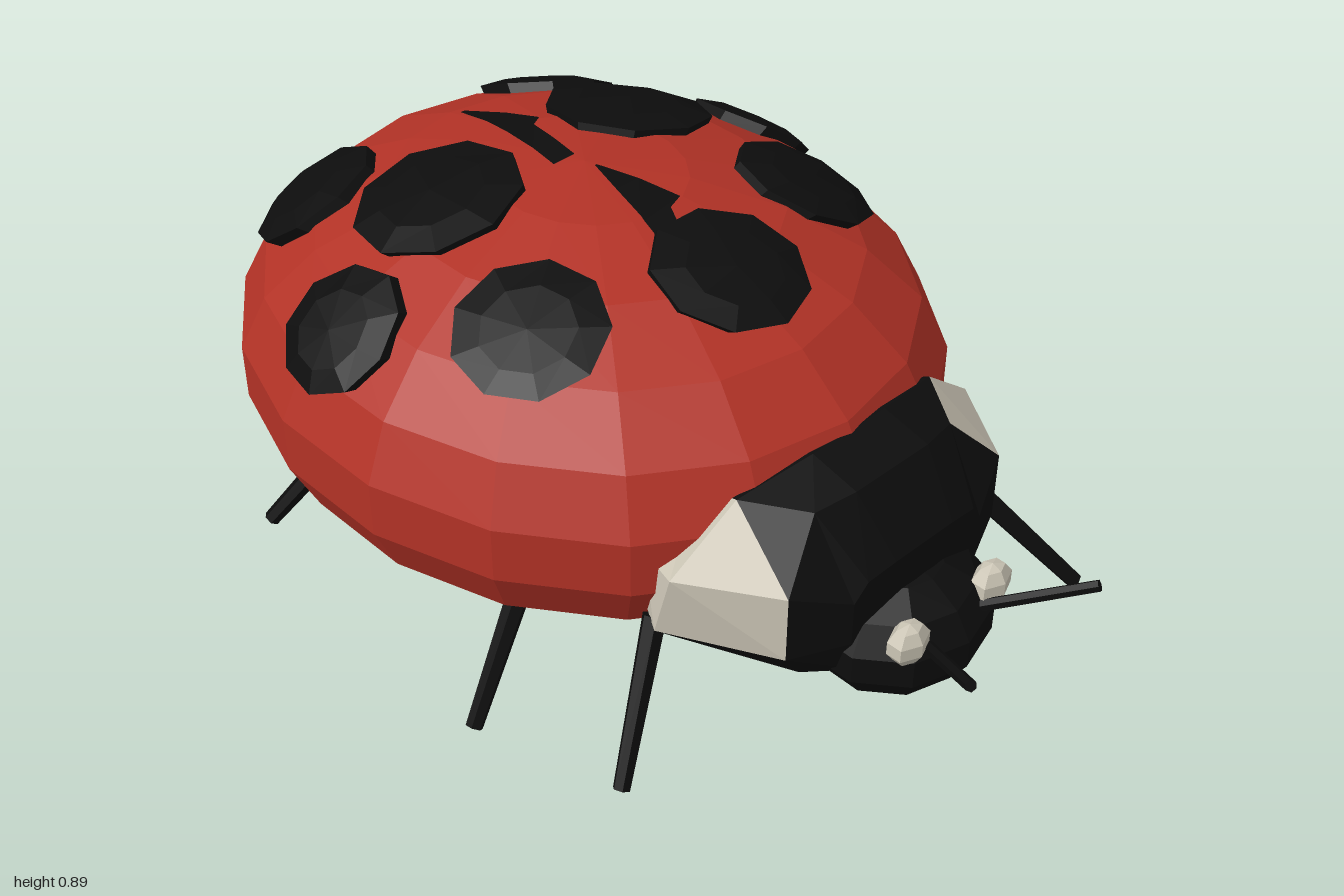
import * as THREE from 'three';

const V = (x, y, z) => new THREE.Vector3(x, y, z);
const material = (name, color) => {
  const m = new THREE.MeshStandardMaterial({ color, flatShading: true });
  m.name = name;
  return m;
};

// Geometry from a list of corner points, three per triangle
function fromTriangles(points) {
  const g = new THREE.BufferGeometry().setFromPoints(points);
  g.computeVertexNormals();
  return g;
}

// Body ellipsoid
const CENTRE = V(-0.21, 0.462, 0);
const RADII = V(0.798, 0.428, 0.702);
const onBody = (p, k) =>
  p.clone().sub(CENTRE).divide(RADII).normalize().multiplyScalar(k).multiply(RADII).add(CENTRE);
const bodyAt = (x, z, k) => {
  const u = (x - CENTRE.x) / RADII.x, w = z / RADII.z;
  return V(u, Math.sqrt(1 - u * u - w * w), w).multiplyScalar(k).multiply(RADII).add(CENTRE);
};

export function createModel() {
  const group = new THREE.Group();
  const red = material('shell red', 0xb23226);
  const black = material('black', 0x0d0d0d);
  const white = material('off white', 0xcbc5b5);
  const add = (name, geometry, mat) => {
    const mesh = new THREE.Mesh(geometry, mat);
    mesh.name = name;
    group.add(mesh);
    return mesh;
  };

  // Shell and belly: one faceted ellipsoid, split along a sawtooth row
  const pos = new THREE.SphereGeometry(1, 18, 11).toNonIndexed().attributes.position;
  const shell = [], belly = [];
  for (let i = 0; i < pos.count; i += 3) {
    const tri = [0, 1, 2].map((k) => V().fromBufferAttribute(pos, i + k));
    const low = (tri[0].y + tri[1].y + tri[2].y) / 3 < -0.54;
    (low ? belly : shell).push(...tri.map((p) => p.multiply(RADII).add(CENTRE)));
  }
  add('shell', fromTriangles(shell), red);
  add('belly', fromTriangles(belly), black);

  // Raised spots following the shell
  function spot(x, z, r, sides = 9) {
    const c = bodyAt(x, z, 1);
    const n = c.clone().sub(CENTRE).divide(RADII).divide(RADII).normalize();
    const u = V(1, 0, 0).addScaledVector(n, -n.x).normalize();
    const v = n.clone().cross(u);
    const rings = [[1, 0.98], [1, 1.028], [0.6, 1.042], [0, 1.045]].map(([s, k]) =>
      Array.from({ length: sides }, (_, j) => {
        const a = (j / sides) * Math.PI * 2;
        const p = c.clone().addScaledVector(u, Math.cos(a) * r * s).addScaledVector(v, Math.sin(a) * r * s);
        return onBody(p, k);
      }));
    const t = [];
    for (let i = 0; i < 3; i++) {
      for (let j = 0; j < sides; j++) {
        const k = (j + 1) % sides, o = rings[i], q = rings[i + 1];
        t.push(o[j], o[k], q[k]);
        if (i < 2) t.push(o[j], q[k], q[j]);
      }
    }
    add('spot', fromTriangles(t), black);
  }
  spot(0.2, 0, 0.16);
  for (const s of [1, -1]) {
    spot(-0.36, s * 0.26, 0.18);
    spot(-0.29, s * 0.565, 0.14);
    spot(-0.705, s * 0.325, 0.15);
    spot(0.05, s * 0.375, 0.155);
  }

  // Small dart marks along the wing seam: [x, zMin, zMax] sections
  const darts = [
    [[-0.6, -0.01, 0], [-0.5, -0.04, 0.012], [-0.42, -0.064, 0.024], [-0.4, -0.032, 0.028], [-0.32, -0.016, 0.04], [-0.24, 0, 0.055]],
    [[-0.18, -0.005, 0], [-0.09, -0.035, 0.025], [0, -0.06, 0.045], [0.015, -0.02, 0.05], [0.055, 0, 0.06]],
  ];
  for (const d of darts) {
    const t = [];
    for (let i = 0; i + 1 < d.length; i++) {
      const [a, b] = [d[i], d[i + 1]];
      const [a0, a1, b0, b1] = [[a[0], a[1]], [a[0], a[2]], [b[0], b[1]], [b[0], b[2]]]
        .map(([x, z]) => bodyAt(x, z, 1.008));
      t.push(a0, a1, b1, a0, b1, b0);
    }
    add('seamMark', fromTriangles(t), black);
  }

  // Thorax plate: half cross-sections from top centre to bottom centre, mirrored
  const sections = [
    [[0.36, 0.56, 0], [0.36, 0.56, 0.1], [0.36, 0.53, 0.24], [0.36, 0.45, 0.38], [0.36, 0.33, 0.38], [0.38, 0.22, 0.27], [0.38, 0.18, 0]],
    [[0.52, 0.62, 0], [0.52, 0.62, 0.1], [0.49, 0.59, 0.27], [0.47, 0.47, 0.42], [0.43, 0.32, 0.42], [0.44, 0.21, 0.3], [0.44, 0.17, 0]],
    [[0.63, 0.595, 0], [0.63, 0.595, 0.1], [0.61, 0.585, 0.19], [0.655, 0.47, 0.3], [0.655, 0.32, 0.3], [0.62, 0.21, 0.22], [0.62, 0.18, 0]],
    [[0.72, 0.47, 0], [0.72, 0.47, 0.08], [0.715, 0.46, 0.15], [0.71, 0.42, 0.18], [0.71, 0.32, 0.18], [0.7, 0.22, 0.14], [0.7, 0.2, 0]],
  ];
  const dark = [], pale = [];
  for (const s of [1, -1]) {
    const ring = sections.map((sec) => sec.map(([x, y, z]) => V(x, y, z * s)));
    const put = (list, a, b, c) => list.push(...(s > 0 ? [a, b, c] : [a, c, b]));
    for (let j = 0; j < 6; j++) {
      for (let i = 0; i < 3; i++) {
        const [a, b, c, d] = [ring[i][j], ring[i][j + 1], ring[i + 1][j + 1], ring[i + 1][j]];
        const cheek = i < 2 && (j === 2 || j === 3);
        put(cheek ? pale : dark, a, b, c);
        put(cheek && !(s > 0 && i === 1 && j === 2) ? pale : dark, a, c, d);
      }
      put(dark, ring[3][j], ring[3][j + 1], V(0.73, 0.36, 0));
    }
  }
  add('thorax', fromTriangles(dark), black);
  add('cheekPatches', fromTriangles(pale), white);

  // Head and eyes
  const head = add('head', new THREE.SphereGeometry(1, 10, 7), black);
  head.scale.set(0.185, 0.14, 0.205);
  head.position.set(0.667, 0.268, 0);
  for (const s of [1, -1]) {
    const eye = add('eye', new THREE.SphereGeometry(1, 6, 5), white);
    eye.scale.set(0.036, 0.046, 0.05);
    eye.position.set(0.795, 0.345, s * 0.12);
  }

  // Rods for antennae and legs
  function rod(name, from, to, r0, r1) {
    const dir = to.clone().sub(from);
    const mesh = add(name, new THREE.CylinderGeometry(r1, r0, dir.length(), 6), black);
    mesh.position.copy(from).addScaledVector(dir, 0.5);
    mesh.quaternion.setFromUnitVectors(V(0, 1, 0), dir.normalize());
  }
  for (const s of [1, -1]) rod('antenna', V(0.76, 0.29, s * 0.05), V(0.99, 0.42, s * 0.187), 0.013, 0.012);

  // Legs in a walking stride: [hip, foot]
  const legs = [
    [V(0.4, 0.32, 0.39), V(0.475, 0.02, 0.55)],
    [V(0.11, 0.27, 0.47), V(0.155, 0.02, 0.65)],
    [V(-0.52, 0.26, 0.4), V(-0.64, 0.02, 0.57)],
    [V(0.5, 0.29, -0.38), V(0.715, 0.02, -0.55)],
    [V(-0.04, 0.27, -0.47), V(-0.08, 0.02, -0.65)],
    [V(-0.36, 0.26, -0.42), V(-0.41, 0.02, -0.57)],
  ];
  for (const [hip, foot] of legs) rod('leg', hip, foot, 0.025, 0.018);

  return group;
}
